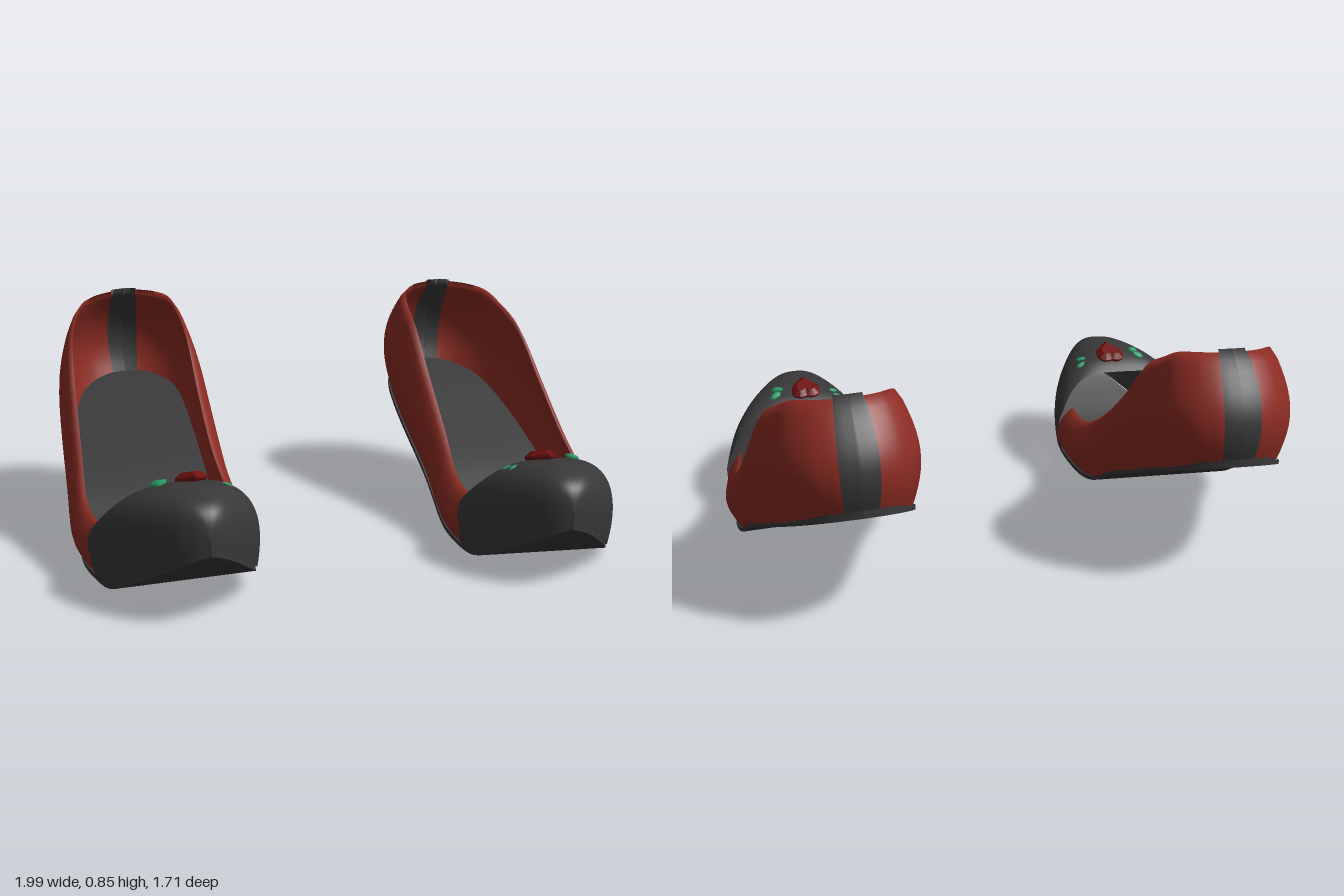
import * as THREE from 'three';
import { ParametricGeometry } from 'three/addons/geometries/ParametricGeometry.js';

const material = (name, color) =>
  new THREE.MeshStandardMaterial({ name, color, side: THREE.DoubleSide });

// Smooth function of z through [z, value] pairs, sorted by z
function profile(pts) {
  const slope = (i) => {
    const a = pts[Math.max(i - 1, 0)], b = pts[Math.min(i + 1, pts.length - 1)];
    return (b[1] - a[1]) / (b[0] - a[0]);
  };
  return (z) => {
    z = THREE.MathUtils.clamp(z, pts[0][0], pts[pts.length - 1][0]);
    let i = 0;
    while (i < pts.length - 2 && z > pts[i + 1][0]) i++;
    const [z0, a] = pts[i], [z1, b] = pts[i + 1], h = z1 - z0, t = (z - z0) / h;
    return a * (1 + 2 * t) * (1 - t) ** 2 + b * t * t * (3 - 2 * t)
      + h * slope(i) * t * (1 - t) ** 2 + h * slope(i + 1) * t * t * (t - 1);
  };
}

const HEEL = -0.82, TOE = 0.855, SOLE_TOP = 0.014;

// Sole plan: centre line and half width
const centre = profile([[HEEL, -0.018], [-0.7, -0.012], [-0.4, 0.014], [0, 0.034], [0.2, 0.034],
  [0.4, 0.018], [0.6, 0.002], [0.8, -0.018], [TOE, -0.026]]);
const halfWidth = profile([[HEEL, 0], [-0.815, 0.046], [-0.8, 0.092], [-0.77, 0.143], [-0.7, 0.203],
  [-0.6, 0.236], [-0.4, 0.26], [0, 0.276], [0.2, 0.29], [0.4, 0.278], [0.5, 0.265], [0.6, 0.232],
  [0.7, 0.175], [0.8, 0.1], [0.84, 0.045], [TOE, 0]]);

// Heights of the sole, the opening rim and the toe ridge
const soleY = profile([[HEEL, 0.447], [-0.6, 0.355], [-0.4, 0.267], [-0.2, 0.18], [-0.1, 0.133],
  [0.05, 0.052], [0.15, 0.022], [0.25, 0.011], [0.4, 0.011], [0.5, 0.022], [0.6, 0.06],
  [0.7, 0.115], [0.8, 0.178], [TOE, 0.222]]);
const rimY = profile([[HEEL, 0.81], [-0.7, 0.79], [-0.6, 0.755], [-0.4, 0.67], [-0.2, 0.515],
  [0, 0.36], [0.1, 0.29], [0.2, 0.235], [0.3, 0.212], [0.42, 0.215]]);
const toeY = profile([[0.4, 0.26], [0.46, 0.325], [0.52, 0.375], [0.6, 0.4], [0.7, 0.405],
  [0.77, 0.395], [0.82, 0.37], [0.845, 0.33], [TOE, 0.27]]);
const heelLean = profile([[HEEL, 0.1], [-0.7, 0.09], [-0.5, 0.05], [-0.2, 0.01], [0.42, 0]]);
const toeRoundness = profile([[0.4, 0.25], [0.5, 0.55], [0.6, 0.72], [TOE, 0.72]]);

// Outline of the upper: s runs from one side (-1) round the heel (0) to the other (1)
function outline(s) {
  const z = HEEL + 1.24 * s * s;
  return new THREE.Vector2(centre(z) + Math.sign(s) * halfWidth(z), z);
}

// Point on the wall at height v, moved outward by off
function wallPoint(s, v, off, target) {
  const p = outline(s), d = outline(s + 0.02).sub(outline(s - 0.02)).normalize();
  const out = 0.042 * Math.sin(Math.PI * v) - 0.02 - 0.015 * v * v + off;
  const base = soleY(p.y) + SOLE_TOP;
  target.set(p.x + d.y * out, base + (rimY(p.y) - base) * v,
    p.y - d.x * out + heelLean(p.y) * v * v);
}

// Thick band of wall: up the outside, over the rim and down the inside
function band(sMax, outer, inner, vMax, slices) {
  const g = new ParametricGeometry((u, w, target) => {
    const s = (u * 2 - 1) * sMax, v = (1 - Math.abs(w * 2 - 1)) * vMax;
    wallPoint(s, v, w < 0.5 ? outer : w > 0.5 ? -inner : (outer - inner) / 2, target);
  }, slices, 24);
  g.computeVertexNormals();
  return g;
}

// Slab following the sole plan and curve
function slab(extra, low, high) {
  const g = new THREE.BoxGeometry(1, 1, 1, 8, 1, 56), p = g.attributes.position;
  for (let i = 0; i < p.count; i++) {
    const z = (HEEL + TOE) / 2 + (TOE - HEEL) / 2 * Math.sin(Math.PI * p.getZ(i));
    p.setXYZ(i, centre(z) + 2 * p.getX(i) * Math.max(halfWidth(z) + extra, 0.002),
      soleY(z) + (p.getY(i) > 0 ? high : low), z);
  }
  g.computeVertexNormals();
  return g;
}

// Toe cap: arched sections from the curved opening to the tip
function toeCap() {
  const g = new ParametricGeometry((u, v, target) => {
    const a = Math.PI * u, sn = Math.sin(a), cs = Math.cos(a);
    const back = 0.4 + 0.075 * THREE.MathUtils.smoothstep(sn, 0.75, 1);
    const z = back + (TOE - back) * Math.sin(v * Math.PI / 2);
    const w = halfWidth(z), base = soleY(z) + SOLE_TOP;
    const x = Math.sign(cs) * Math.abs(cs) ** toeRoundness(z) * Math.max(w - 0.006, 0)
      + 0.04 * Math.sin(2 * a) * w / 0.28;
    target.set(centre(z) + x, base + (toeY(z) - base) * sn, z);
  }, 48, 32);
  g.computeVertexNormals();
  return g;
}

// Height of the toe cap at a place near its ridge
function capY(x, z) {
  const c = (Math.abs(x - centre(z)) / halfWidth(z)) ** (1 / toeRoundness(z));
  const base = soleY(z) + SOLE_TOP;
  return base + (toeY(z) - base) * Math.sqrt(1 - c * c);
}

// Faceted heart with its point toward the toe
function heartGem() {
  const s = new THREE.Shape();
  s.moveTo(0, -0.056);
  s.lineTo(-0.041, -0.01);
  s.quadraticCurveTo(-0.053, 0.036, -0.025, 0.042);
  s.quadraticCurveTo(-0.006, 0.042, 0, 0.032);
  s.quadraticCurveTo(0.006, 0.042, 0.025, 0.042);
  s.quadraticCurveTo(0.053, 0.036, 0.041, -0.01);
  return new THREE.ExtrudeGeometry(s, { depth: 0.008, curveSegments: 3,
    bevelEnabled: true, bevelThickness: 0.018, bevelSize: 0.02, bevelOffset: -0.01, bevelSegments: 1 });
}

export function createModel() {
  const red = material('red leather', 0x8c2c23);
  const grey = material('charcoal leather', 0x383838);
  const ruby = material('ruby', 0x6e1010);
  const green = material('leaf green', 0x2a9c68);

  const parts = [
    ['sole', slab(-0.012, 0, SOLE_TOP + 0.002), grey],
    ['insole', slab(-0.026, 0.01, 0.028), grey],
    ['upper', band(1, 0, 0.016, 1, 96), red],
    ['heelStrap', band(0.082, 0.008, 0.024, 1.025, 10), grey],
    ['toeCap', toeCap(), grey],
  ];
  const gem = heartGem();
  const leaf = new THREE.SphereGeometry(1, 6, 4);

  function shoe(name, side) {
    const g = new THREE.Group();
    g.name = name;
    const add = (partName, geometry, mat) => {
      const m = new THREE.Mesh(geometry, mat);
      m.name = partName;
      g.add(m);
      return m;
    };
    for (const [n, geo, mat] of parts) add(n, geo, mat);

    // Heart gem and leaf pairs on the toe cap
    const gemX = -0.03;
    const heart = add('heartGem', gem, ruby);
    heart.position.set(gemX, capY(gemX, 0.555) + 0.002, 0.555);
    heart.rotation.x = -Math.PI / 2 - 0.35;
    for (const k of [-1, 1]) {
      for (const [dx, z, turn] of [[0.12, 0.537, 0.5], [0.108, 0.572, -0.5]]) {
        const x = gemX + k * dx;
        const l = add('leaf', leaf, green);
        l.position.set(x, capY(x, z) + 0.007, z);
        l.scale.set(0.027, 0.011, 0.017);
        l.rotation.set(-0.25, k * turn, -k * 0.3);
      }
    }
    g.scale.x = side;
    g.rotation.z = -side * 0.035;
    return g;
  }

  const model = new THREE.Group();
  model.name = 'balletFlats';
  const left = shoe('leftShoe', 1);
  left.position.set(0.645, 0, -0.025);
  const right = shoe('rightShoe', -1);
  right.position.set(-0.65, 0.032, 0);
  model.add(left, right);
  return model;
}
